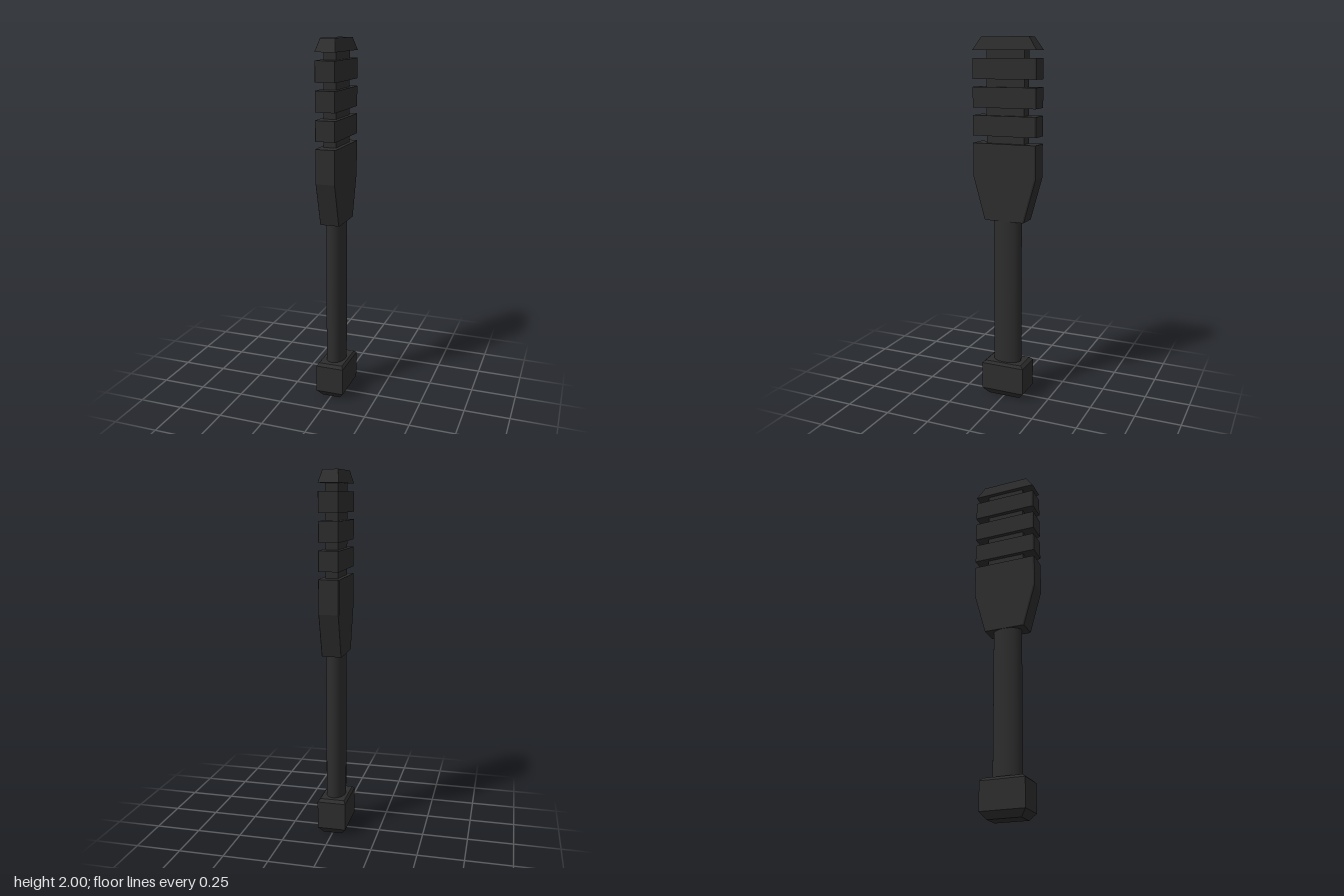
import * as THREE from 'three';

// Flat-sided solid through chamfered rectangles: each section is [y, halfX, halfZ]
function loft(sections, cx = 0, cz = 0) {
  const rings = sections.map(([y, x, z]) => {
    const pts = cx > 0
      ? [[x, z - cz], [x - cx, z], [cx - x, z], [-x, z - cz], [-x, cz - z], [cx - x, -z], [x - cx, -z], [x, cz - z]]
      : [[x, z], [-x, z], [-x, -z], [x, -z]];
    return pts.map(([px, pz]) => [px, y, pz]);
  });
  const n = rings[0].length;
  const pos = [];
  const tri = (a, b, c) => pos.push(...a, ...b, ...c);
  for (let r = 0; r < rings.length - 1; r++) {
    for (let i = 0; i < n; i++) {
      const j = (i + 1) % n;
      const a = rings[r][i], b = rings[r][j], c = rings[r + 1][j], d = rings[r + 1][i];
      tri(a, c, b);
      tri(a, d, c);
    }
  }
  const bottom = rings[0], top = rings[rings.length - 1];
  for (let i = 1; i < n - 1; i++) {
    tri(bottom[0], bottom[i], bottom[i + 1]);
    tri(top[0], top[i + 1], top[i]);
  }
  const g = new THREE.BufferGeometry();
  g.setAttribute('position', new THREE.Float32BufferAttribute(pos, 3));
  g.computeVertexNormals();
  return g;
}

export function createModel() {
  const group = new THREE.Group();
  const black = new THREE.MeshStandardMaterial({ color: 0x2d2d2d });
  black.name = 'black';
  const add = (name, geometry) => {
    const mesh = new THREE.Mesh(geometry, black);
    mesh.name = name;
    group.add(mesh);
    return mesh;
  };

  const X = 0.056, Z = 0.181, CX = 0.004, CZ = 0.008;

  // Bevelled block at the foot
  add('pommel', loft([
    [0, 0.052, 0.093], [0.037, 0.079, 0.124], [0.19, 0.079, 0.124], [0.205, 0.068, 0.107],
  ]));

  // Smooth oval shaft
  const shaft = new THREE.CylinderGeometry(1, 1, 0.84, 32);
  shaft.scale(0.054, 1, 0.081);
  shaft.translate(0, 0.615, 0);
  add('shaft', shaft);

  // Tapered head
  add('head', loft([[1.025, X, 0.115], [1.262, X, Z], [1.445, X, Z]], CX, CZ));

  // Narrow core behind the ribs
  add('core', loft([[1.44, 0.034, 0.108], [1.94, 0.034, 0.108]]));

  // Three equal ribs
  for (let i = 0; i < 3; i++) {
    const y = 1.485 + i * 0.149;
    add(`rib${i + 1}`, loft([[y, X, Z], [y + 0.108, X, Z]], CX, CZ));
  }

  // Sloped cap
  add('cap', loft([[1.932, X, Z], [2, 0.042, 0.135]], 0.002, 0.004));

  return group;
}
